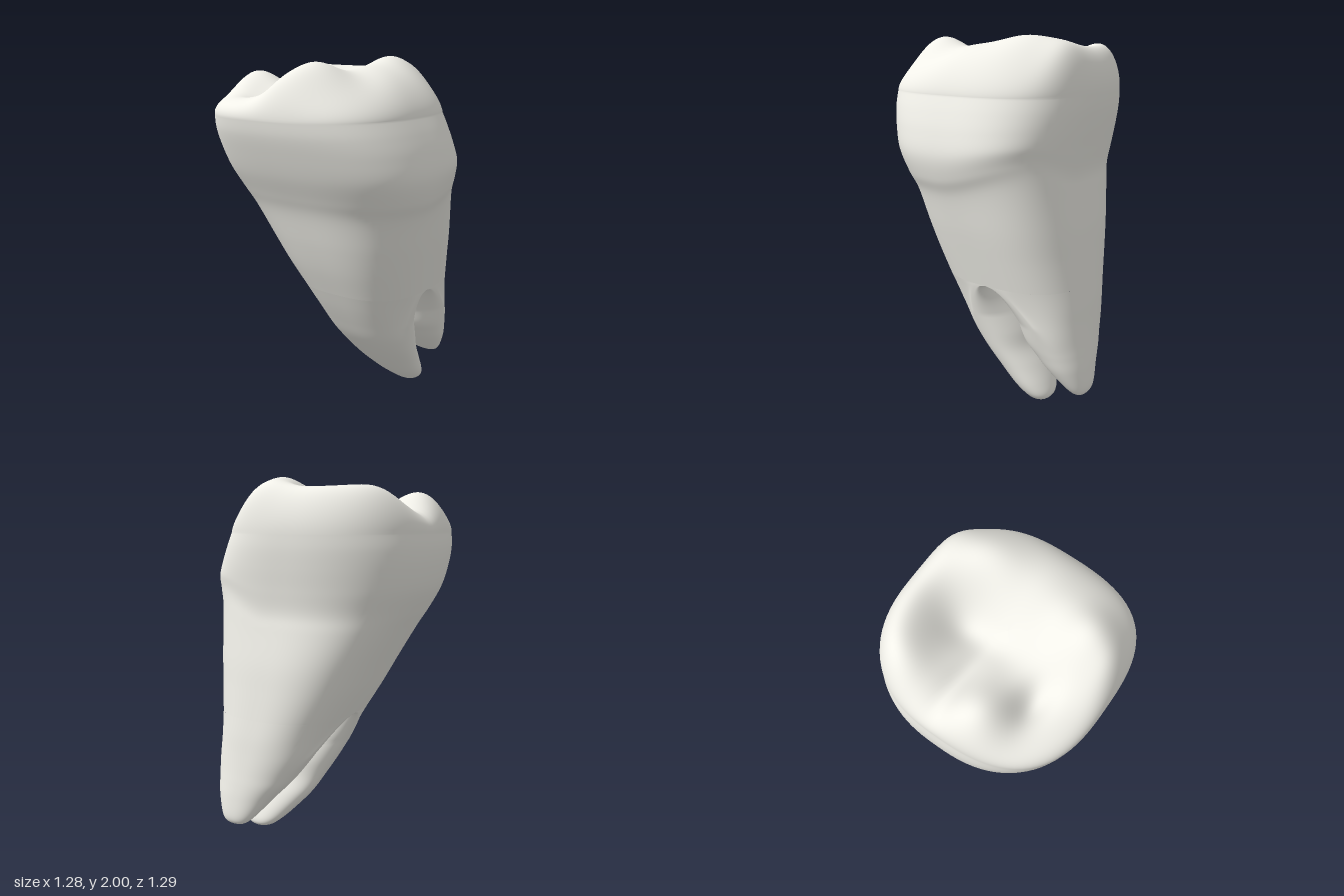
import * as THREE from 'three';

const SEG = 112;
const SPLIT = 0.7; // height where the trunk forks into two roots
const material = new THREE.MeshStandardMaterial({ color: 0xf0efe8 });
const { smoothstep, lerp } = THREE.MathUtils;

// Corner squareness of the crown and trunk, and of the roots
const bodyPower = (c, s) => 2.72 + 0.12 * (c + s);
const rootPower = () => 2.2;

// Catmull-Rom through rows of [y, xMin, xMax, zMin, zMax]
function resample(rows, steps) {
  const out = [];
  const last = rows.length - 1;
  for (let k = 0; k <= last * steps; k++) {
    const i = Math.min(Math.floor(k / steps), last - 1);
    const t = k / steps - i;
    const [p0, p1, p2, p3] = [i - 1, i, i + 1, i + 2].map(n => rows[Math.min(Math.max(n, 0), last)]);
    out.push(p1.map((b, c) => {
      const m1 = (p2[c] - p0[c]) / 2, m2 = (p3[c] - b) / 2, d = p2[c] - b;
      return b + t * (m1 + t * (3 * d - 2 * m1 - m2 + t * (m1 + m2 - 2 * d)));
    }));
  }
  return out;
}

// One horizontal superellipse ring
function makeRing([y, x0, x1, z0, z1], power) {
  const ring = [];
  for (let i = 0; i < SEG; i++) {
    const a = i / SEG * Math.PI * 2, c = Math.cos(a), s = Math.sin(a), n = power(c, s);
    const r = Math.pow(Math.abs(c) ** n + Math.abs(s) ** n, -1 / n);
    ring.push(new THREE.Vector3((x0 + x1) / 2 + (x1 - x0) / 2 * r * c, y, (z0 + z1) / 2 + (z1 - z0) / 2 * r * s));
  }
  return ring;
}

// Skin rings listed from bottom to top
function skin(name, rings) {
  const pos = [], index = [];
  rings.forEach(ring => ring.forEach(p => pos.push(p.x, p.y, p.z)));
  for (let j = 0; j < rings.length - 1; j++) {
    for (let i = 0; i < SEG; i++) {
      const n = (i + 1) % SEG, a = j * SEG, b = a + SEG;
      index.push(a + i, b + i, a + n, a + n, b + i, b + n);
    }
  }
  const geometry = new THREE.BufferGeometry();
  geometry.setAttribute('position', new THREE.Float32BufferAttribute(pos, 3));
  geometry.setIndex(index);
  geometry.computeVertexNormals();
  const mesh = new THREE.Mesh(geometry, material);
  mesh.name = name;
  return mesh;
}

// Chewing surface: cusps, ridges and fossae as soft bumps [x, z, radiusX, radiusZ, height]
const bumps = [
  [-0.48, -0.27, 0.2, 0.2, 0.14],    // back right cusp
  [-0.48, 0.2, 0.2, 0.16, 0.13],     // front right cusp
  [0.16, -0.2, 0.22, 0.3, 0.19],     // back left cusp
  [0.12, 0.42, 0.2, 0.2, 0.18],      // front left cusp
  [0.2, 0.13, 0.2, 0.15, 0.05],      // saddle between the left cusps
  [0.42, 0.05, 0.2, 0.4, 0.08],      // left shoulder
  [-0.2, -0.43, 0.3, 0.17, 0.15],    // back marginal ridge
  [0.25, -0.5, 0.2, 0.12, 0.13],
  [0.06, 0.6, 0.14, 0.1, 0.07],      // front marginal ridge
  [-0.1, -0.13, 0.14, 0.15, -0.09],  // back fossa
  [-0.12, 0.06, 0.1, 0.12, -0.02],
  [-0.26, 0.36, 0.14, 0.08, -0.06],  // front fossa
  [-0.4, 0.02, 0.25, 0.06, -0.03],   // right cross groove
];
function chewingHeight(x, z) {
  let h = 1.8;
  for (const [bx, bz, rx, rz, k] of bumps) h += k * Math.exp(-(((x - bx) / rx) ** 2) - ((z - bz) / rz) ** 2);
  return h;
}

function createCrownAndTrunk() {
  const rings = resample([
    [SPLIT, -0.255, 0.495, -0.575, 0.25],
    [0.85, -0.335, 0.525, -0.553, 0.318],
    [1.0, -0.41, 0.555, -0.53, 0.375],
    [1.18, -0.505, 0.588, -0.492, 0.435],
    [1.28, -0.56, 0.622, -0.475, 0.483],
    [1.4, -0.615, 0.638, -0.485, 0.545],
    [1.52, -0.64, 0.61, -0.5, 0.595],
    [1.62, -0.645, 0.57, -0.51, 0.63],
    [1.7, -0.635, 0.53, -0.512, 0.645],
  ], 7).map(row => makeRing(row, bodyPower));

  // Neck line climbs towards the back on the left side
  for (const p of rings.flat()) {
    const climb = smoothstep(-p.z, -0.1, 0.45) * smoothstep(p.x, 0.1, 0.5);
    p.y += 0.11 * climb * Math.exp(-(((p.y - 1.25) / 0.2) ** 2));
  }

  // Round over the rim into the chewing surface, with a gentler slope on the left
  const rim = rings[rings.length - 1];
  const cx = -0.04, cz = 0.06, steps = 36;
  for (let k = 1; k <= steps; k++) {
    const s = k < steps ? Math.cos(k / steps * Math.PI / 2) ** 0.8 : 0;
    rings.push(rim.map(p => {
      const x = cx + (p.x - cx) * s, z = cz + (p.z - cz) * s;
      const left = Math.max(0, (p.x - cx) / 0.57);
      const lift = (1 - s ** (8 - 2 * left)) ** (0.5 + 0.2 * left);
      return new THREE.Vector3(x, lerp(p.y, chewingHeight(x, z), lift), z);
    }));
  }
  return skin('crownAndTrunk', rings);
}

// A root starts as one half of the trunk outline and rounds into an oval further down,
// quickly beside the fork and slowly on the outside
function createRoot(name, isFront, rows) {
  const rings = resample(rows, 7).map(row => {
    const [y, x0, x1, z0, z1] = row;
    const drop = SPLIT - y;
    const whole = isFront ? [y, x0, x1, -0.575 - 0.15 * drop, z1] : [y, x0, x1, z0, 0.25 - 0.5 * drop];
    const half = makeRing(whole, bodyPower);
    const fast = Math.sqrt(Math.min(drop / 0.2, 1));
    const slow = smoothstep(drop, 0, 0.32);
    return makeRing(row, rootPower).map((p, i) => {
      const h = half[i];
      h.z = isFront ? Math.max(h.z, z0) : Math.min(h.z, z1);
      const away = Math.abs(h.z - (isFront ? z0 : z1));
      return h.lerp(p, lerp(fast, slow, smoothstep(away, 0, 0.2)));
    });
  });
  return skin(name, rings);
}

export function createModel() {
  const group = new THREE.Group();
  group.name = 'molar';
  group.add(
    createCrownAndTrunk(),
    createRoot('frontRoot', true, [
      [0.0, 0.26, 0.26, -0.35, -0.35],
      [0.01, 0.19, 0.31, -0.395, -0.3],
      [0.04, 0.14, 0.345, -0.41, -0.255],
      [0.1, 0.08, 0.37, -0.39, -0.18],
      [0.2, 0.0, 0.39, -0.34, -0.08],
      [0.3, -0.05, 0.41, -0.285, 0.008],
      [0.4, -0.1, 0.428, -0.255, 0.085],
      [0.5, -0.15, 0.447, -0.215, 0.145],
      [0.6, -0.202, 0.47, -0.17, 0.2],
      [SPLIT, -0.255, 0.495, -0.13, 0.25],
    ]),
    createRoot('backRoot', false, [
      [0.1, 0.24, 0.24, -0.605, -0.605],
      [0.11, 0.18, 0.3, -0.63, -0.57],
      [0.15, 0.13, 0.34, -0.643, -0.51],
      [0.25, 0.05, 0.39, -0.635, -0.4],
      [0.33, -0.02, 0.415, -0.625, -0.32],
      [0.4, -0.07, 0.433, -0.615, -0.255],
      [0.5, -0.14, 0.455, -0.602, -0.215],
      [0.6, -0.198, 0.475, -0.59, -0.17],
      [SPLIT, -0.255, 0.495, -0.575, -0.13],
    ]),
  );
  return group;
}
